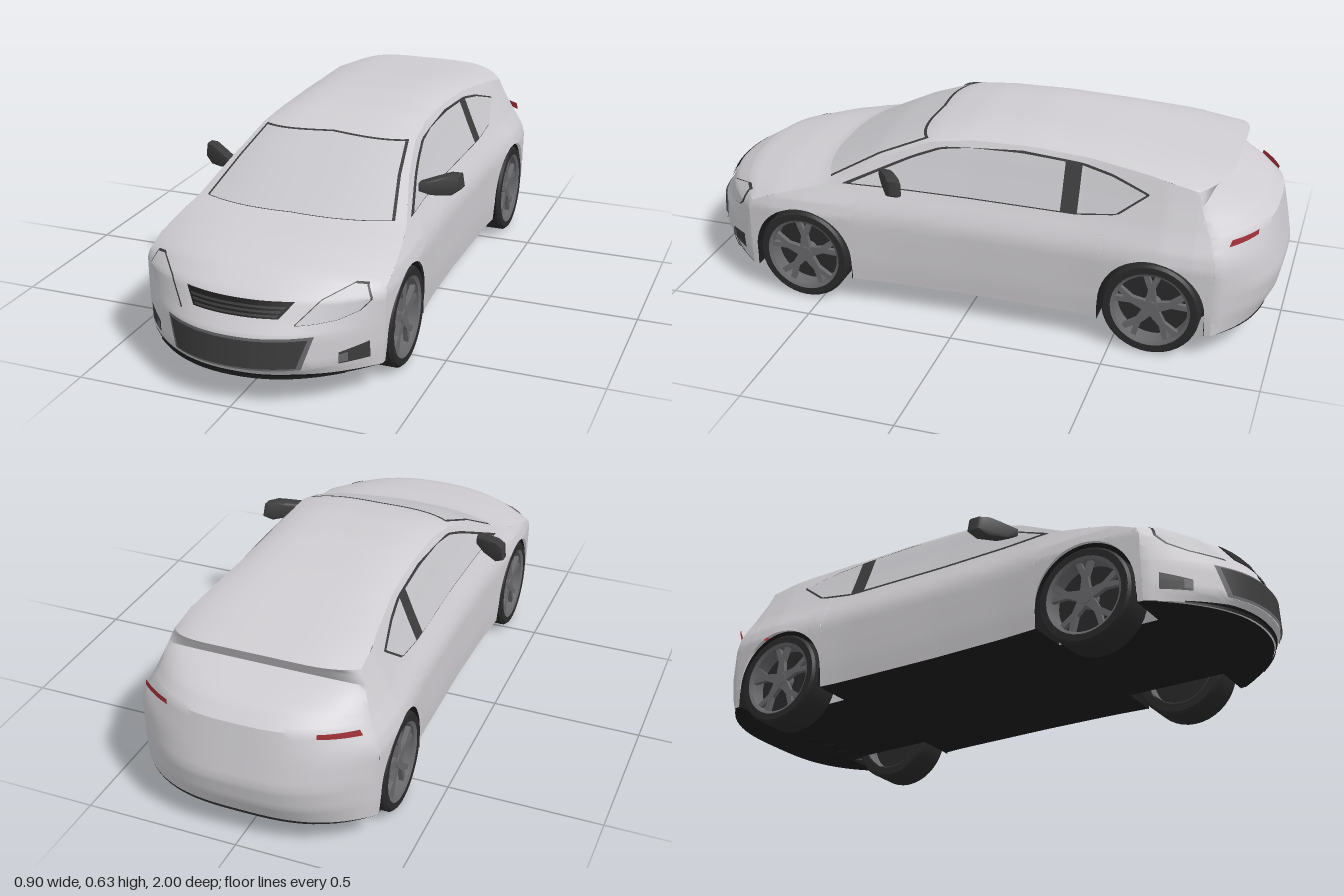
import * as THREE from 'three';
import { mergeGeometries, mergeVertices, toCreasedNormals } from 'three/addons/utils/BufferGeometryUtils.js';

const paint = (name, color) => {
  const m = new THREE.MeshStandardMaterial({ color, side: THREE.DoubleSide });
  m.name = name;
  return m;
};

// Linear lookup in a list of [key, value] pairs with rising keys
function lookup(list, k) {
  let i = 0;
  while (i < list.length - 2 && k > list[i + 1][0]) i++;
  const [a, va] = list[i], [b, vb] = list[i + 1];
  return va + (vb - va) * THREE.MathUtils.clamp((k - a) / (b - a), 0, 1);
}

// Half width of the body: plan outline along z plus side profile over height
const PLAN = [[-0.82, 0.388], [-0.75, 0.396], [-0.65, 0.4], [-0.52, 0.388], [-0.38, 0.377], [0, 0.374],
  [0.25, 0.38], [0.4, 0.391], [0.55, 0.4], [0.66, 0.398], [0.75, 0.388]];
const PROFILE = [[0.09, -0.008], [0.16, -0.002], [0.24, 0], [0.32, 0.001], [0.36, -0.01], [0.39, -0.026],
  [0.423, -0.043], [0.5, -0.076], [0.56, -0.1], [0.59, -0.113], [0.62, -0.135]];
const halfWidth = (y, z) => lookup(PLAN, z) + lookup(PROFILE, y);

// Rows across the body, nose to tail: centre z, centre y, edge z, edge y, bow power, crown power
const ROWS = [
  [0.97, 0.105, 0.75, 0.092, 2.2, 2.5], [0.995, 0.13, 0.75, 0.13, 2.2, 2.5],
  [0.99, 0.23, 0.75, 0.22, 2.2, 2.5], [0.965, 0.27, 0.75, 0.26, 2.2, 2.5],
  [0.93, 0.33, 0.75, 0.31, 2.2, 2.5], [0.84, 0.383, 0.74, 0.335, 2.2, 2.6],
  [0.68, 0.415, 0.65, 0.37, 2.2, 3], [0.54, 0.432, 0.47, 0.42, 2.2, 3],
  [0.33, 0.535, 0.3, 0.515, 2.2, 3.5], [0.16, 0.6, 0.14, 0.58, 2.2, 4],
  [0.03, 0.624, 0, 0.598, 2.2, 4], [-0.18, 0.634, -0.2, 0.602, 2.2, 4],
  [-0.4, 0.622, -0.4, 0.593, 3, 4], [-0.61, 0.598, -0.6, 0.572, 4, 4],
  [-0.83, 0.577, -0.745, 0.545, 5, 4], [-0.8, 0.558, -0.75, 0.53, 5, 4],
  [-0.775, 0.51, -0.758, 0.5, 4, 4], [-0.92, 0.46, -0.785, 0.44, 3, 3],
  [-0.965, 0.42, -0.8, 0.41, 3, 3], [-0.98, 0.34, -0.82, 0.35, 3, 3],
  [-1, 0.235, -0.82, 0.235, 3, 3], [-0.985, 0.16, -0.82, 0.16, 3, 3], [-0.955, 0.1, -0.82, 0.092, 3, 3]];
const LAST = ROWS.length - 1, ROOF = 11, TAIL = 15;

function rowAt(s) {
  const i = Math.min(Math.floor(s), LAST - 1), f = s - i;
  return ROWS[i].map((v, k) => v + (ROWS[i + 1][k] - v) * f);
}
function across(s, t) {
  const [zc, yc, ze, ye, p, q] = rowAt(s), a = Math.abs(t);
  return [t * halfWidth(ye, ze), ye + (yc - ye) * (1 - a ** q), ze + (zc - ze) * (1 - a ** p)];
}
// Depth of the nose or tail surface at a given x and y
function depthAt(x, y, s0, s1) {
  const at = s => {
    const r = rowAt(s);
    return across(s, Math.min(1, Math.abs(x) / halfWidth(r[3], r[2])));
  };
  let a = s0, b = s1;
  for (let i = 0; i < 30; i++) {
    const m = (a + b) / 2;
    if ((at(m)[1] < y) === (s0 < s1)) a = m; else b = m;
  }
  return at(a)[2];
}
const onFront = (x, y, o) => [x, y, depthAt(x, y, 0, ROOF) + o];
const onRear = (x, y, o) => [x, y, depthAt(x, y, LAST, TAIL) - o];
const onSide = (z, y, o) => [halfWidth(y, z) + o, y, z];

// Grid surface from a function of two indices
function grid(fn, nu, nv, flip) {
  const pos = [], idx = [];
  for (let i = 0; i <= nu; i++) for (let j = 0; j <= nv; j++) pos.push(...fn(i, j));
  for (let i = 0; i < nu; i++) for (let j = 0; j < nv; j++) {
    const a = i * (nv + 1) + j, b = a + 1, c = a + nv + 1, d = c + 1;
    idx.push(...(flip ? [a, c, b, b, c, d] : [a, b, c, b, d, c]));
  }
  const g = new THREE.BufferGeometry();
  g.setAttribute('position', new THREE.Float32BufferAttribute(pos, 3));
  g.setIndex(idx);
  g.computeVertexNormals();
  return g;
}

export function createModel() {
  const car = new THREE.Group();
  car.name = 'car';
  const body = paint('silver body', 0xcfcdd1), glass = paint('pale glass', 0xc8c7cb),
    trim = paint('dark trim', 0x3c3c3d), rubber = paint('tyre rubber', 0x2a2a2b),
    alloy = paint('grey alloy', 0x68686b), under = paint('black underside', 0x1c1c1c), red = paint('lamp red', 0xa8343c);
  const add = (name, geo, mat, parent = car) => {
    const m = new THREE.Mesh(geo, mat);
    m.name = name;
    parent.add(m);
    return m;
  };

  // Body shell: nose, bonnet, roof and tail in one sheet, plus both sides
  const AXLES = [0.558, -0.627], AXLE_Y = 0.158, ARCH = 0.172, SILL = 0.092;
  const zs = [];
  for (let s = 4; s <= 19; s += 0.25) zs.push(rowAt(s)[2]);
  for (const c of AXLES) {
    for (let k = 0; k <= 24; k++) zs.push(c + ARCH * Math.cos(k * Math.PI / 24));
    zs.push(c + ARCH + 0.0005, c - ARCH - 0.0005);
  }
  zs.sort((a, b) => b - a);
  const edge = ROWS.slice(4, 20).map(r => [r[2], r[3]]).reverse();
  const sideBottom = z => {
    const c = AXLES.find(a => Math.abs(z - a) <= ARCH + 1e-6);
    return c === undefined ? SILL : AXLE_Y + Math.sqrt(Math.max(0, ARCH ** 2 - (z - c) ** 2));
  };
  const side = sx => grid((i, j) => {
    const z = zs[i], top = lookup(edge, z), y = top + (sideBottom(z) - top) * j / 20;
    return [sx * halfWidth(y, z), y, z];
  }, zs.length - 1, 20, sx < 0);
  const sheet = grid((i, j) => across(i / 4, j / 20 - 1), LAST * 4, 40);
  const shell = mergeVertices(mergeGeometries([sheet, side(1), side(-1)]), 1e-4);
  add('bodyShell', toCreasedNormals(shell, 0.6), body);

  // Flat floor, narrowed between the wheels
  const ends = r => Array.from({ length: 13 }, (_, k) => across(r, k / 12)).map(p => [p[0], p[2]]);
  const outline = [...ends(0),
    ...zs.map(z => [sideBottom(z) > SILL ? 0.24 : halfWidth(SILL, z), z]), ...ends(LAST).reverse()];
  add('floor', grid((i, j) => [outline[i][0] * (1 - 2 * j), SILL, outline[i][1]], outline.length - 1, 1), under);

  // Thin plates laid on the body between an upper and a lower line
  const along = (pts, u) => {
    const f = u * (pts.length - 1), i = Math.min(Math.floor(f), pts.length - 2);
    return pts[i].map((v, k) => v + (pts[i + 1][k] - v) * (f - i));
  };
  function plate(name, mat, on, upper, lower, off, sx = 1) {
    const geo = grid((i, j) => {
      const a = along(upper, i / 32), b = along(lower, i / 32), v = j / 12;
      const p = on(a[0] + (b[0] - a[0]) * v, a[1] + (b[1] - a[1]) * v, off);
      return [p[0] * sx, p[1], p[2]];
    }, 32, 12, (on === onRear) !== (sx < 0));
    add(name, geo, mat);
  }
  const shrink = (pts, c, k) => pts.map(p => [c[0] + (p[0] - c[0]) * k, c[1] + (p[1] - c[1]) * k]);

  // Windscreen
  const wsTop = [[-0.25, 0.583], [0, 0.594], [0.25, 0.583]], wsLow = [[-0.318, 0.43], [0, 0.436], [0.318, 0.43]];
  plate('windscreenSeal', trim, onFront, wsTop, wsLow, 0.004);
  plate('windscreen', glass, onFront, shrink(wsTop, [0, 0.51], 0.972), shrink(wsLow, [0, 0.51], 0.972), 0.008);

  // Grilles and front lip
  const band = (w0, y0, w1, y1) => [[[-w0, y0], [w0, y0]], [[-w1, y1], [w1, y1]]];
  plate('upperGrille', under, onFront, ...band(0.172, 0.325, 0.135, 0.28), 0.005);
  for (let k = 0; k < 3; k++) {
    const y = 0.313 - k * 0.011, w = 0.152 - k * 0.009;
    plate('grilleSlat', trim, onFront, ...band(w, y, w - 0.005, y - 0.006), 0.008);
  }
  plate('lowerGrilleFrame', alloy, onFront, ...band(0.232, 0.229, 0.2, 0.129), 0.004);
  plate('lowerGrille', trim, onFront, ...band(0.218, 0.222, 0.189, 0.137), 0.008);
  plate('frontLip', under, onFront, [[-0.3, 0.1], [-0.18, 0.111], [0.18, 0.111], [0.3, 0.1]],
    [[-0.3, 0.093], [-0.18, 0.093], [0.18, 0.093], [0.3, 0.093]], 0.006);

  // Rear bumper line, diffuser and fins
  plate('bumperLine', alloy, onRear, [[-0.27, 0.2], [-0.2, 0.232], [0.2, 0.232], [0.27, 0.2]],
    [[-0.27, 0.196], [-0.2, 0.224], [0.2, 0.224], [0.27, 0.196]], 0.005);
  plate('hatchLine', alloy, onRear, ...band(0.3, 0.343, 0.3, 0.339), 0.004);
  plate('diffuser', under, onRear, ...band(0.31, 0.132, 0.32, 0.094), 0.006);
  for (let k = -3; k <= 3; k++) {
    const x = k * 0.08;
    add('diffuserFin', new THREE.BoxGeometry(0.018, 0.04, 0.06), under)
      .position.set(x, 0.11, depthAt(x, 0.11, LAST, TAIL) + 0.012);
  }

  // Parts found on both sides
  const lampTop = [[0.178, 0.264], [0.237, 0.327], [0.31, 0.358], [0.342, 0.352], [0.36, 0.316]];
  const lampLow = [[0.178, 0.261], [0.23, 0.262], [0.285, 0.267], [0.335, 0.284], [0.36, 0.31]];
  const winTop = [[0.39, 0.434], [0.19, 0.53], [0.1, 0.565], [0, 0.579], [-0.17, 0.584], [-0.315, 0.577]];
  const winLow = [[0.39, 0.432], [0.25, 0.432], [0.1, 0.432], [0, 0.432], [-0.17, 0.432], [-0.315, 0.432]];
  const sealTop = [[0.42, 0.429], [0.19, 0.537], [0.1, 0.571], [-0.17, 0.59], [-0.37, 0.579], [-0.47, 0.561], [-0.593, 0.521]];
  const sealLow = [[0.42, 0.427], [0.19, 0.427], [0.1, 0.427], [-0.17, 0.427], [-0.37, 0.427], [-0.5, 0.446], [-0.593, 0.517]];
  for (const sx of [1, -1]) {
    plate('headlampRim', trim, onFront, lampTop, lampLow, 0.004, sx);
    plate('headlamp', glass, onFront, shrink(lampTop, [0.285, 0.31], 0.95), shrink(lampLow, [0.285, 0.31], 0.95), 0.008, sx);
    plate('fogLampRecess', trim, onFront, [[0.288, 0.168], [0.357, 0.184]], [[0.288, 0.132], [0.357, 0.13]], 0.004, sx);
    plate('fogLamp', alloy, onFront, [[0.29, 0.163], [0.31, 0.165]], [[0.29, 0.137], [0.31, 0.137]], 0.008, sx);
    plate('tailLampUpper', red, onRear, [[0.24, 0.418], [0.345, 0.421]], [[0.24, 0.401], [0.352, 0.399]], 0.006, sx);
    plate('tailLampLower', red, onRear, [[0.25, 0.373], [0.345, 0.37]], [[0.25, 0.358], [0.345, 0.352]], 0.006, sx);
    // side glass with its dark seal and centre pillar
    plate('sideWindowSeal', trim, onSide, sealTop, sealLow, 0.004, sx);
    plate('frontSideWindow', glass, onSide, winTop, winLow, 0.008, sx);
    plate('quarterWindow', glass, onSide, [[-0.37, 0.573], [-0.47, 0.555], [-0.582, 0.52]],
      [[-0.37, 0.432], [-0.495, 0.451], [-0.582, 0.517]], 0.008, sx);

    // Door mirror, swept forward at its foot
    const outlineXY = [[0.45, 0.46], [0.444, 0.505], [0.415, 0.511], [0.38, 0.503], [0.33, 0.49],
      [0.33, 0.465], [0.365, 0.447], [0.42, 0.44]].map(p => new THREE.Vector2(...p));
    let mirror = new THREE.ExtrudeGeometry(new THREE.Shape(outlineXY), {
      depth: 0.03, bevelEnabled: true, bevelThickness: 0.01, bevelSize: 0.008, bevelOffset: -0.008, bevelSegments: 2 });
    const mp = mirror.attributes.position;
    for (let i = 0; i < mp.count; i++) mp.setZ(i, mp.getZ(i) + 0.215 - (mp.getX(i) - 0.4) * 0.65);
    mirror = toCreasedNormals(mirror, 0.7);
    const mirrorMesh = add('doorMirror', mirror, trim);
    mirrorMesh.scale.x = sx;

    // Wheels and wheel wells
    for (const z of AXLES) {
      const wheel = new THREE.Group();
      wheel.name = 'wheel';
      wheel.position.set(sx * 0.33, AXLE_Y, z);
      if (sx < 0) wheel.rotation.y = Math.PI;
      car.add(wheel);
      const turn = pts => toCreasedNormals(new THREE.LatheGeometry(
        pts.map(p => new THREE.Vector2(...p)), 40).rotateZ(-Math.PI / 2), 0.6);
      add('tyre', turn([[0.122, -0.064], [0.15, -0.064], [0.158, -0.054], [0.158, 0.054], [0.15, 0.063], [0.128, 0.063]]), rubber, wheel);
      add('rim', turn([[0.118, -0.06], [0.116, 0.03], [0.118, 0.056], [0.129, 0.062]]), alloy, wheel);
      add('brakeDisc', new THREE.CylinderGeometry(0.117, 0.117, 0.006, 32).rotateZ(Math.PI / 2), rubber, wheel);
      add('hub', new THREE.CylinderGeometry(0.024, 0.03, 0.04, 20).rotateZ(-Math.PI / 2), alloy, wheel).position.x = 0.033;
      const spoke = new THREE.Shape([[-0.018, 0.015], [-0.011, 0.065], [-0.03, 0.117], [-0.013, 0.12], [0, 0.088],
        [0.013, 0.12], [0.03, 0.117], [0.011, 0.065], [0.018, 0.015]].map(p => new THREE.Vector2(...p)));
      for (let k = 0; k < 5; k++) {
        const g = new THREE.ExtrudeGeometry(spoke, { depth: 0.016, bevelEnabled: false });
        g.rotateZ(k * Math.PI * 0.4).rotateY(Math.PI / 2).translate(0.034, 0, 0);
        add('spoke', g, alloy, wheel);
      }
      const well = new THREE.CylinderGeometry(ARCH, ARCH, 0.145, 32, 1, true, 0, Math.PI);
      add('wheelWell', well.rotateZ(Math.PI / 2), under).position.set(sx * 0.3125, AXLE_Y, z);
      const wall = new THREE.CircleGeometry(ARCH, 32, 0, Math.PI).rotateY(Math.PI / 2);
      add('wheelWellWall', wall, under).position.set(sx * 0.24, AXLE_Y, z);
      for (const e of [-1, 1]) {
        add('wheelWellSkirt', new THREE.BoxGeometry(0.145, AXLE_Y - SILL, 0.002), under)
          .position.set(sx * 0.3125, (AXLE_Y + SILL) / 2, z + e * ARCH);
      }
    }
  }
  return car;
}
